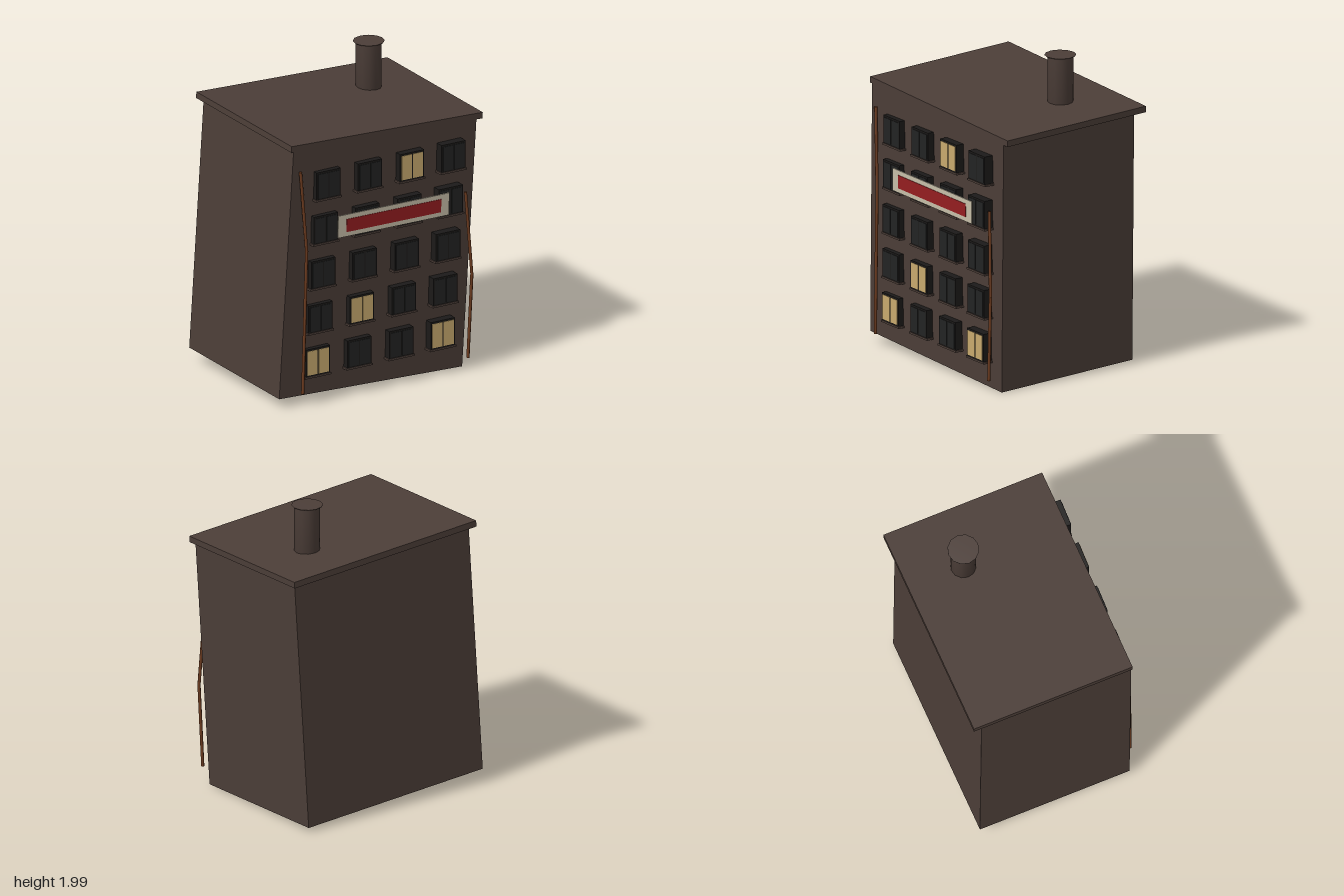
import * as THREE from 'three';

const mat = (name, color) => {
  const m = new THREE.MeshStandardMaterial({ color });
  m.name = name;
  return m;
};

export function createModel() {
  const brown = mat('sooty brown', 0x4c3e38);
  const frameDark = mat('window frame', 0x1c1a19);
  const paneDark = mat('dark glass', 0x222323);
  const paneLit = mat('lit glass', 0xc8aa6e);
  const rust = mat('rusty pipe', 0x6b3a1e);
  const cream = mat('sign cream', 0xc9c0aa);
  const red = mat('sign red', 0x961e20);

  const model = new THREE.Group();
  model.name = 'leaningBuilding';

  const add = (parent, name, geometry, material, x, y, z) => {
    const mesh = new THREE.Mesh(geometry, material);
    mesh.name = name;
    mesh.position.set(x, y, z);
    parent.add(mesh);
    return mesh;
  };
  const box = (w, h, d) => new THREE.BoxGeometry(w, h, d);

  // Crooked block with its overhanging roof slab
  const block = new THREE.Group();
  block.name = 'block';
  block.position.set(-0.064, 0.055, -0.04);
  block.rotation.set(0.027, 0.026, -0.048);
  model.add(block);
  add(block, 'walls', box(1.35, 1.62, 1), brown, 0, 0.81, 0);
  add(block, 'roof', box(1.41, 0.04, 1.06), brown, 0.013, 1.64, -0.028);

  // Upright chimney with a flared lip
  const chimneyProfile = [[0, 1.64], [0.08, 1.64], [0.08, 1.985], [0.098, 1.998], [0.098, 2], [0, 2]]
    .map(([r, y]) => new THREE.Vector2(r, y));
  const chimneyGeometry = new THREE.LatheGeometry(chimneyProfile, 12);
  add(model, 'chimney', chimneyGeometry, brown, 0.345, 0, -0.195);

  // Windows: each floor shifts along with the lean of the wall
  const columns = [-0.465, -0.165, 0.14, 0.44];
  const floors = [0.28, 0.567, 0.857, 1.15, 1.44];
  const lit = new Set(['0,0', '0,3', '1,1', '4,2']);
  const frameGeometry = box(0.174, 0.182, 0.09);
  const paneGeometry = box(0.073, 0.158, 0.006);
  const sillGeometry = box(0.19, 0.012, 0.09);
  floors.forEach((y, floor) => {
    const front = 0.514 + floor * 0.008;
    columns.forEach((column, i) => {
      const win = new THREE.Group();
      win.name = 'window';
      win.position.set(column + floor * 0.0145, y, front);
      model.add(win);
      add(win, 'frame', frameGeometry, frameDark, 0, 0, -0.048);
      add(win, 'sill', sillGeometry, brown, 0, -0.094, -0.044);
      const glass = lit.has(`${floor},${i}`) ? paneLit : paneDark;
      for (const side of [-1, 1]) add(win, 'pane', paneGeometry, glass, side * 0.0405, 0, -0.003);
    });
  });

  // Sign board with a red panel
  const sign = new THREE.Group();
  sign.name = 'sign';
  sign.position.set(0.052, 1.15, 0.558);
  sign.rotation.set(0.02, 0.022, -0.018);
  model.add(sign);
  add(sign, 'signBoard', box(0.815, 0.145, 0.008), cream, 0, 0, 0);
  add(sign, 'signPanel', box(0.695, 0.085, 0.004), red, 0, 0, 0.005);

  // Bent drainpipes, one straight length per pair of points
  const pipes = {
    rightDrainpipe: [[-0.6, 1.55, 0.525], [-0.565, 1.03, 0.54], [-0.59, 0.1, 0.535]],
    leftDrainpipe: [[0.6, 1.18, 0.518], [0.635, 0.64, 0.535], [0.61, 0.1, 0.53]],
  };
  const up = new THREE.Vector3(0, 1, 0);
  for (const [name, path] of Object.entries(pipes)) {
    const points = path.map((p) => new THREE.Vector3(...p));
    for (let i = 0; i < points.length - 1; i++) {
      const direction = points[i + 1].clone().sub(points[i]);
      const middle = points[i].clone().add(points[i + 1]).multiplyScalar(0.5);
      const pipe = add(model, name, new THREE.CylinderGeometry(0.01, 0.01, direction.length() + 0.004, 8),
        rust, middle.x, middle.y, middle.z);
      pipe.quaternion.setFromUnitVectors(up, direction.normalize());
    }
  }

  return model;
}
